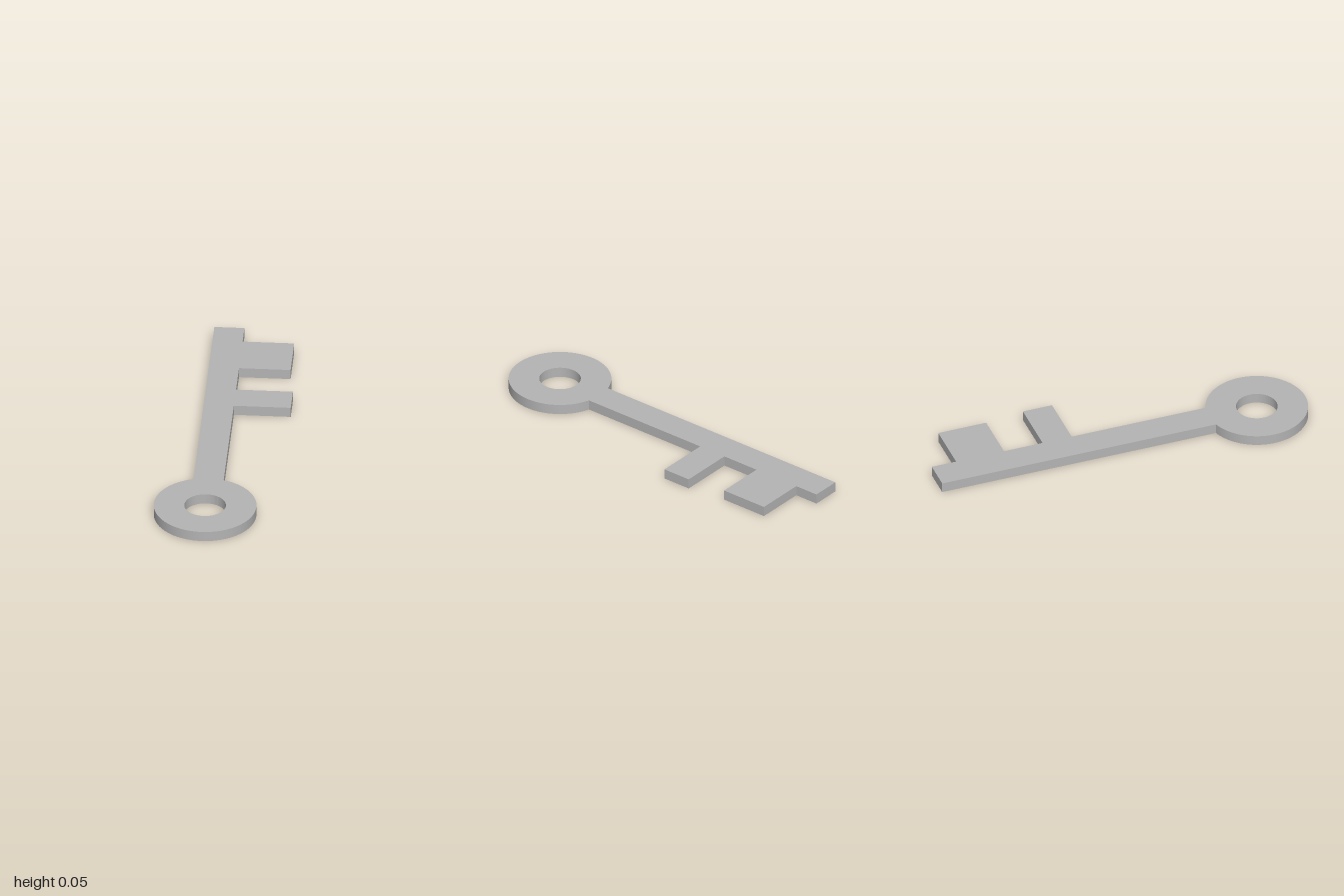
import * as THREE from 'three';
import { toCreasedNormals } from 'three/addons/utils/BufferGeometryUtils.js';

export function createModel() {
  const group = new THREE.Group();
  group.name = 'key';
  const metal = new THREE.MeshStandardMaterial({ color: 0xb4b4b4 });
  metal.name = 'grey metal';

  const thickness = 0.054;
  const cx = -0.054, cy = -0.738; // bow centre (outline y is -z)
  const bowRadius = 0.262, holeRadius = 0.106, half = 0.077;
  const right = cx + half, left = cx - half;

  // Outline: bow arc, then up the shaft, around both teeth, over the tip and back
  const join = Math.acos(half / bowRadius);
  const outline = new THREE.Shape();
  outline.absarc(cx, cy, bowRadius, Math.PI - join, join + Math.PI * 2, false);
  const teeth = [
    { from: 0.24, to: 0.398, reach: 0.314 },
    { from: 0.608, to: 0.868, reach: 0.287 },
  ];
  for (const { from, to, reach } of teeth) {
    outline.lineTo(right, from);
    outline.lineTo(reach, from);
    outline.lineTo(reach, to);
    outline.lineTo(right, to);
  }
  outline.lineTo(right, 1);
  outline.lineTo(left, 1);
  outline.closePath();

  // Round hole through the bow
  const hole = new THREE.Path();
  hole.absarc(cx, cy, holeRadius, 0, Math.PI * 2, true);
  outline.holes.push(hole);

  // Extrude and lay flat on the ground
  const flat = new THREE.ExtrudeGeometry(outline, {
    depth: thickness, bevelEnabled: false, curveSegments: 64,
  });
  flat.rotateX(-Math.PI / 2);

  const body = new THREE.Mesh(toCreasedNormals(flat, Math.PI / 6), metal);
  body.name = 'keyBody';
  group.add(body);
  return group;
}
